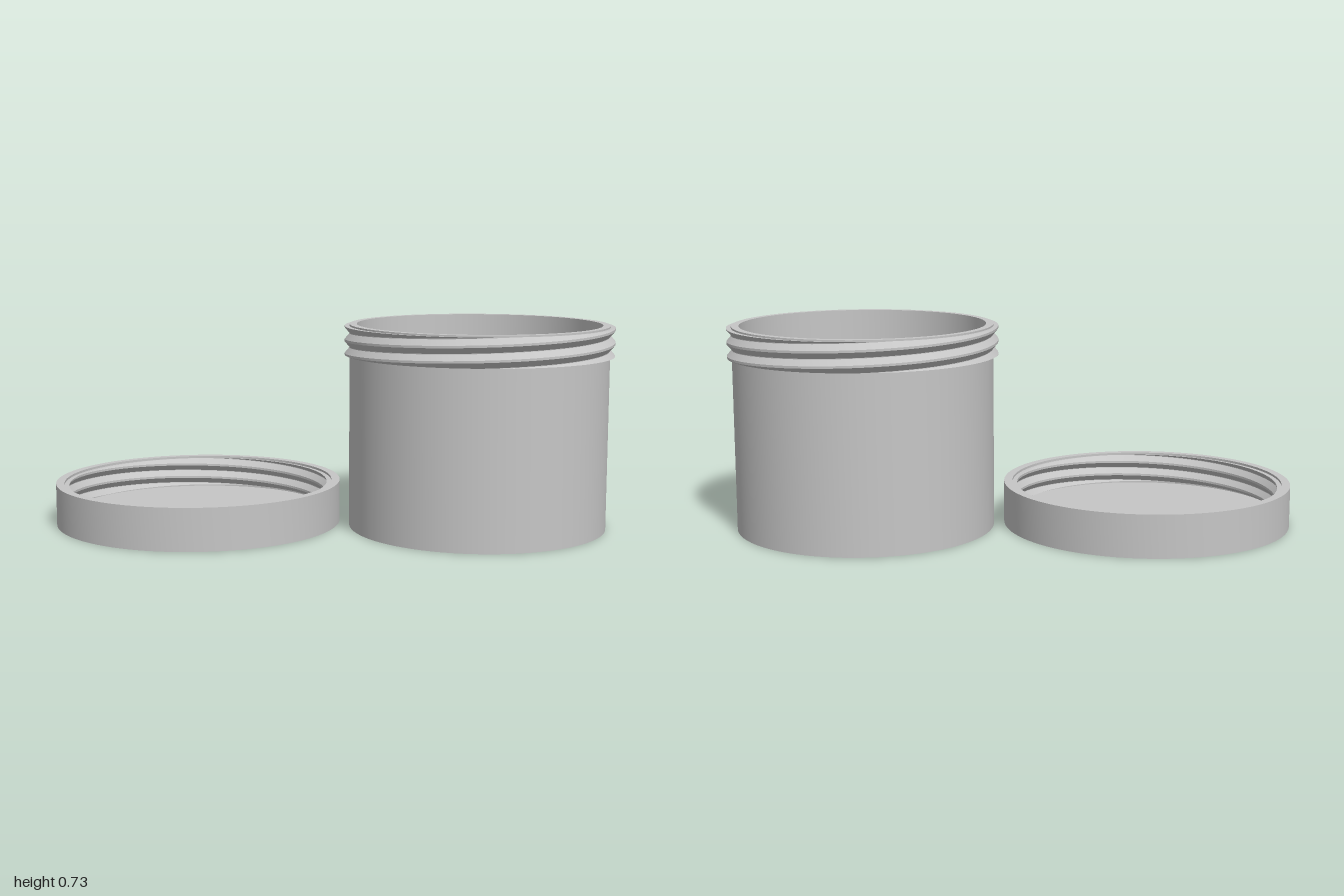
import * as THREE from 'three';
import { toCreasedNormals } from 'three/addons/utils/BufferGeometryUtils.js';

const SEGMENTS = 96;
const CREASE = 0.4;
const grey = new THREE.MeshStandardMaterial({ color: 0xc6c6c6 });
grey.name = 'plain grey';

function part(name, geometry) {
  const mesh = new THREE.Mesh(toCreasedNormals(geometry, CREASE), grey);
  mesh.name = name;
  return mesh;
}

// Open round vessel with a solid floor and a wall of even thickness
function vessel(name, outer, inner, height, floor) {
  const profile = [
    [0, 0], [outer, 0], [outer, height], [inner, height], [inner, floor], [0, floor],
  ].map(([r, y]) => new THREE.Vector2(r, y));
  return part(name, new THREE.LatheGeometry(profile, SEGMENTS));
}

// Double-start helical ridge, trimmed flat at heights lo and hi.
// A negative depth makes an inward-facing thread.
function thread(name, radius, depth, lo, hi, phaseY) {
  const lead = 0.1, half = 0.024, crest = 0.004;
  const offsets = [-half, -half, -crest, crest, half, half];
  const n = offsets.length;
  const positions = [], index = [];
  const ridge = (d) =>
    radius + depth * THREE.MathUtils.clamp((half - Math.abs(d)) / (half - crest), 0, 1);

  for (let start = 0; start < 2; start++) {
    const turns = (hi - lo + 2 * half) / lead;
    const steps = Math.ceil(turns * SEGMENTS);
    const first = positions.length / 3;
    for (let i = 0; i <= steps; i++) {
      const y = lo - half + (turns * lead * i) / steps;
      const angle = ((y - phaseY) / lead + start / 2) * Math.PI * 2 + Math.PI / 2;
      offsets.forEach((d, k) => {
        const cy = THREE.MathUtils.clamp(y + d, lo, hi);
        const r = k === 0 || k === n - 1 ? radius : ridge(cy - y);
        positions.push(r * Math.cos(angle), cy, -r * Math.sin(angle));
      });
    }
    for (let i = 0; i < steps; i++) {
      for (let k = 0; k < n - 1; k++) {
        const a = first + i * n + k, b = a + n, c = b + 1, d = a + 1;
        if (depth > 0) index.push(a, b, d, b, c, d);
        else index.push(a, d, b, b, d, c);
      }
    }
  }
  const geometry = new THREE.BufferGeometry();
  geometry.setAttribute('position', new THREE.Float32BufferAttribute(positions, 3));
  geometry.setIndex(index);
  geometry.computeVertexNormals();
  return part(name, geometry);
}

export function createModel() {
  const model = new THREE.Group();
  model.name = 'screwTopJar';

  // Jar with an outside thread around its neck
  const jar = new THREE.Group();
  jar.name = 'jar';
  jar.add(
    vessel('jarBody', 0.459, 0.433, 0.725, 0.03),
    thread('jarThread', 0.459, 0.017, 0.617, 0.719, 0.64),
  );
  jar.position.set(0.523, 0, -0.046);

  // Lid lying upside down, with a thread on the inside of its rim
  const lid = new THREE.Group();
  lid.name = 'lid';
  lid.add(
    vessel('lidShell', 0.514, 0.484, 0.15, 0.03),
    thread('lidThread', 0.484, -0.017, 0.036, 0.142, 0.065),
  );
  lid.position.set(-0.486, 0, 0.01);

  model.add(jar, lid);
  return model;
}
